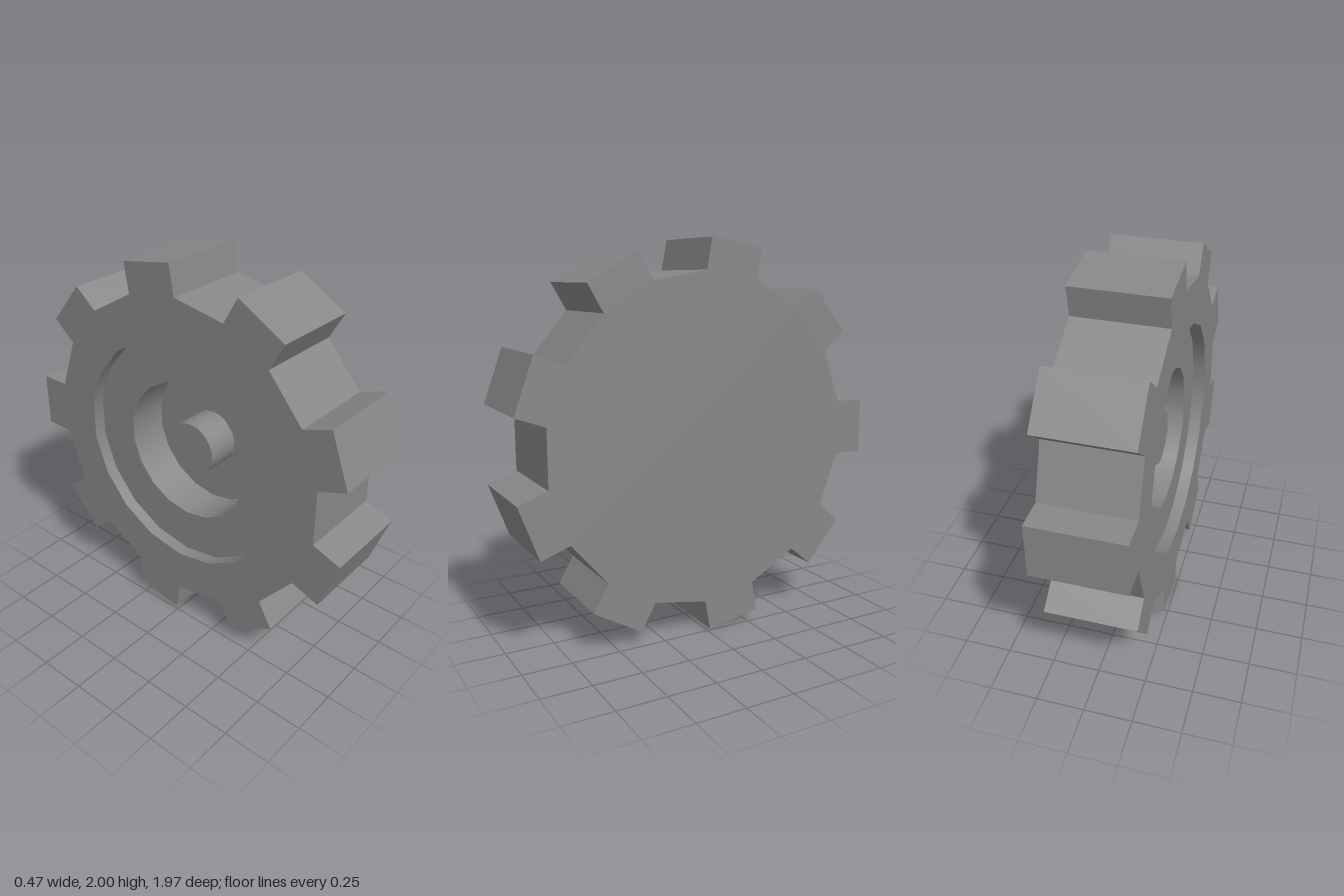
import * as THREE from 'three';

const TEETH = 9, SIDES = 18;
const HALF = 0.236;          // half thickness along the axle
const ROOT = 0.844;          // corner radius of the 18-sided body
const TIP = 0.99;            // distance from axis to flat tooth tips
const TOOTH = 0.146;         // half width of a tooth
const RECESS = 0.612, HOLE = 0.376, HUB = 0.143;
const STEP_X = -0.169, FLOOR_X = 0.05, HUB_X = -0.131;

const grey = (options = {}) => new THREE.MeshStandardMaterial({ color: 0x878787, ...options });

// Corners of a regular polygon, offset by half a side
function polygon(radius, sides) {
  return Array.from({ length: sides }, (_, i) => {
    const a = ((i + 0.5) / sides) * Math.PI * 2;
    return new THREE.Vector2(radius * Math.cos(a), radius * Math.sin(a));
  });
}

// Toothed outline, counter-clockwise: each tooth is root, tip, tip, root
function gearOutline() {
  const points = [];
  const rootAngle = Math.PI / SIDES;
  const rx = ROOT * Math.cos(rootAngle), ry = ROOT * Math.sin(rootAngle);
  const origin = new THREE.Vector2();
  for (let i = 0; i < TEETH; i++) {
    const a = (i / TEETH) * Math.PI * 2;
    for (const [x, y] of [[rx, -ry], [TIP, -TOOTH], [TIP, TOOTH], [rx, ry]]) {
      points.push(new THREE.Vector2(x, y).rotateAround(origin, a));
    }
  }
  return points;
}

// Band of outward-facing quads along a closed outline
function band(outline, z0, z1) {
  const positions = [];
  outline.forEach((p, i) => {
    const q = outline[(i + 1) % outline.length];
    positions.push(p.x, p.y, z0, q.x, q.y, z0, q.x, q.y, z1);
    positions.push(p.x, p.y, z0, q.x, q.y, z1, p.x, p.y, z1);
  });
  const geometry = new THREE.BufferGeometry();
  geometry.setAttribute('position', new THREE.Float32BufferAttribute(positions, 3));
  geometry.computeVertexNormals();
  return geometry;
}

export function createModel() {
  const model = new THREE.Group();
  const wheel = new THREE.Group();
  wheel.name = 'gearWheel';
  model.add(wheel);

  const add = (name, geometry, material = grey()) => {
    const mesh = new THREE.Mesh(geometry, material);
    mesh.name = name;
    wheel.add(mesh);
  };

  const outline = gearOutline();

  // Toothed rim
  add('toothedRim', band(outline, -HALF, HALF), grey({ flatShading: true }));

  // Closed flat face
  add('closedFace', new THREE.ShapeGeometry(new THREE.Shape(outline)).translate(0, 0, HALF));

  // Open face around the recess
  const openShape = new THREE.Shape(outline);
  openShape.holes.push(new THREE.Path(polygon(RECESS, SIDES)));
  add('openFace', new THREE.ShapeGeometry(openShape).rotateX(Math.PI).translate(0, 0, -HALF));

  // Stepped recess and hub: one lathe per profile segment keeps the edges sharp
  const segments = [
    ['hubEnd', 0, HUB_X, HUB, HUB_X],
    ['hub', HUB, HUB_X, HUB, FLOOR_X],
    ['holeFloor', HUB, FLOOR_X, HOLE, FLOOR_X],
    ['holeWall', HOLE, FLOOR_X, HOLE, STEP_X],
    ['recessStep', HOLE, STEP_X, RECESS, STEP_X],
    ['recessWall', RECESS, STEP_X, RECESS, -HALF],
  ];
  for (const [name, r0, x0, r1, x1] of segments) {
    const profile = [new THREE.Vector2(r0, x0), new THREE.Vector2(r1, x1)];
    add(name, new THREE.LatheGeometry(profile, SIDES).rotateX(Math.PI / 2));
  }

  // Turn the axle along x and stand the wheel on the ground
  wheel.rotation.y = Math.PI / 2;
  wheel.position.set(0, 1, 0.005);
  return model;
}
